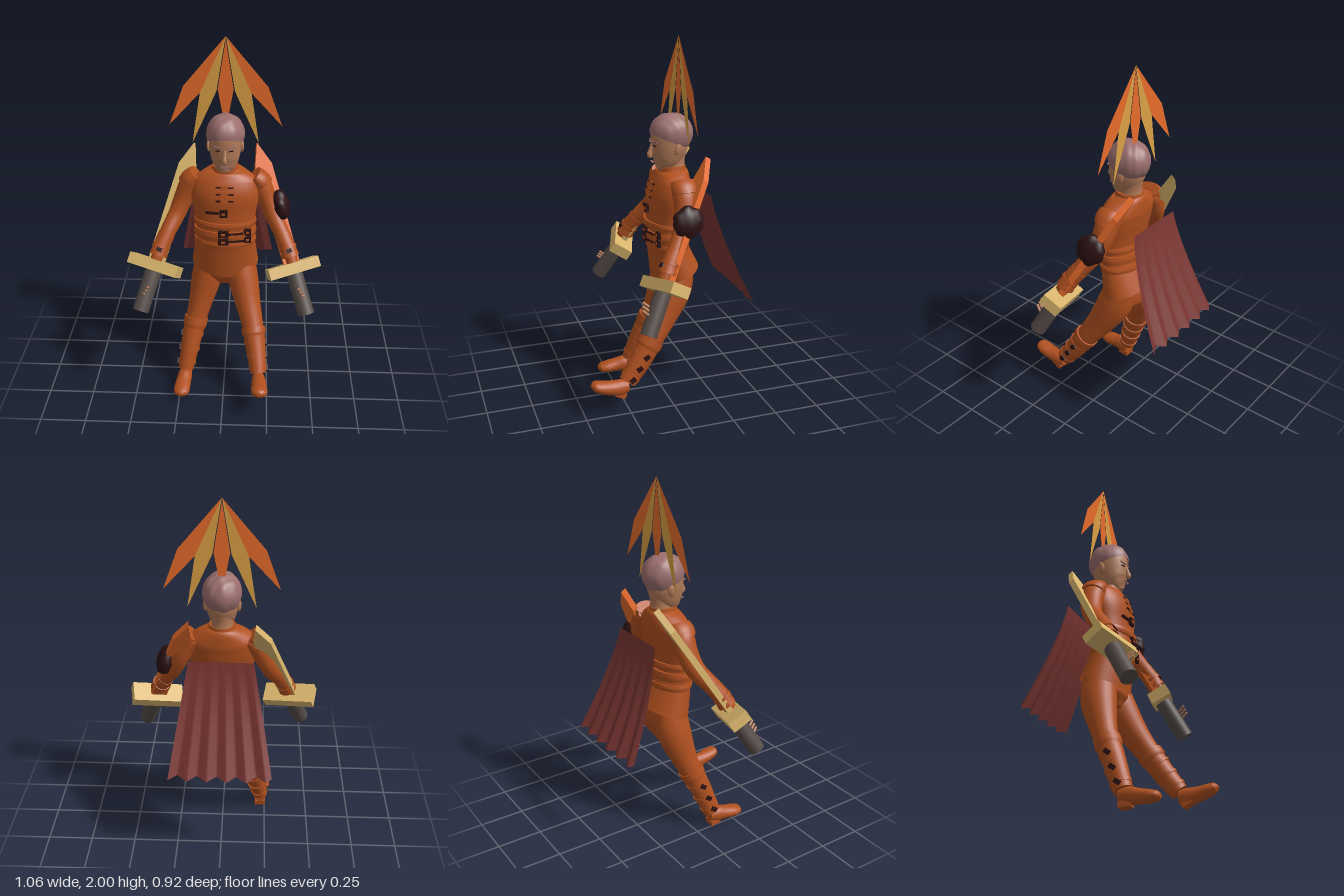
import * as THREE from 'three';

const mat = (name, color, side = THREE.FrontSide) => {
  const m = new THREE.MeshStandardMaterial({ color, side });
  m.name = name;
  return m;
};
const V = (x, y, z) => new THREE.Vector3(x, y, z);

// Smooth tube of elliptical sections; each ring is [x, y, z, sideRadius, depthRadius]
function loft(rings, seg = 24, sub = 5) {
  const path = new THREE.CatmullRomCurve3(rings.map(r => V(r[0], r[1], r[2])));
  const size = new THREE.CatmullRomCurve3(rings.map(r => V(r[3], r[4], 0)));
  const n = (rings.length - 1) * sub, pos = [], idx = [];
  const addRing = i => {
    const c = path.getPoint(i / n), t = path.getTangent(i / n), r = size.getPoint(i / n);
    const s = V(1, 0, 0).addScaledVector(t, -t.x).normalize();
    const f = s.clone().cross(t);
    const start = pos.length / 3;
    for (let j = 0; j < seg; j++) {
      const a = (j / seg) * Math.PI * 2;
      const p = c.clone().addScaledVector(s, r.x * Math.cos(a)).addScaledVector(f, r.y * Math.sin(a));
      pos.push(p.x, p.y, p.z);
    }
    return start;
  };
  for (let i = 0; i <= n; i++) addRing(i);
  for (let i = 0; i < n; i++) for (let j = 0; j < seg; j++) {
    const a = i * seg + j, b = i * seg + (j + 1) % seg;
    idx.push(a, a + seg, b, b, a + seg, b + seg);
  }
  for (const end of [0, n]) {
    const s = addRing(end), c = path.getPoint(end / n), m = pos.length / 3;
    pos.push(c.x, c.y, c.z);
    for (let j = 0; j < seg; j++) {
      const k = (j + 1) % seg;
      if (end) idx.push(m, s + k, s + j); else idx.push(m, s + j, s + k);
    }
  }
  const g = new THREE.BufferGeometry();
  g.setAttribute('position', new THREE.Float32BufferAttribute(pos, 3));
  g.setIndex(idx);
  g.computeVertexNormals();
  return g;
}

// Move every vertex of a geometry by a rule
function shape(geo, rule) {
  const p = geo.attributes.position;
  for (let i = 0; i < p.count; i++) p.setXYZ(i, ...rule(p.getX(i), p.getY(i), p.getZ(i)));
  geo.computeVertexNormals();
  return geo;
}

export function createModel() {
  const leather = mat('leather', 0xb0501f, THREE.DoubleSide), skin = mat('skin', 0xb27a58);
  const hairMat = mat('hair', 0x9a6e6c, THREE.DoubleSide), dark = mat('darkLeather', 0x2c1112);
  const capeMat = mat('capeRed', 0x7a3632, THREE.DoubleSide), brass = mat('paleGold', 0xd8b46c);
  const grip = mat('gripGrey', 0x564c48), orange = mat('orange', 0xe86c2c, THREE.DoubleSide);
  const gold = mat('featherGold', 0xdca044, THREE.DoubleSide);
  const model = new THREE.Group();
  const add = (name, geo, m, p = [0, 0, 0], rot = [0, 0, 0], parent = model) => {
    const mesh = new THREE.Mesh(geo, m);
    mesh.name = name;
    mesh.position.set(...p);
    mesh.rotation.set(...rot);
    parent.add(mesh);
    return mesh;
  };
  const box = (name, m, size, p, rot) => add(name, new THREE.BoxGeometry(...size), m, p, rot);

  // Jacket, trousers seat and collar
  add('jacket', loft([[0, .77, -.06, .158, .1], [0, .87, -.04, .164, .107], [0, .96, -.025, .16, .1],
    [0, 1.06, -.03, .17, .1], [0, 1.16, -.04, .188, .108], [0, 1.23, -.06, .18, .1], [0, 1.28, -.07, .115, .085],
    [0, 1.3, -.07, .07, .07]], 36), leather);
  add('trouserSeat', loft([[0, .6, -.05, .05, .06], [0, .66, -.06, .14, .1], [0, .77, -.06, .156, .1]]), leather);
  // Flared jacket skirt, split in a V at the front and lifted at the back
  add('jacketSkirt', shape(new THREE.PlaneGeometry(2, 1, 48, 6), (u, h) => {
    const v = .5 - h, a = u * (Math.PI - .27 * v), back = (1 - Math.cos(a)) / 2;
    return [-Math.sin(a) * (.166 + .021 * v), .87 - (.19 - .08 * back) * v,
      -.042 - .038 * v + Math.cos(a) * (.109 + .017 * v)];
  }), leather);
  add('collar', loft([[0, 1.27, -.065, .078, .08], [0, 1.315, -.065, .07, .074]]), leather);
  for (const [y, z, h] of [[.885, -.038, .035], [.945, -.027, .05], [1.005, -.027, .035]])
    add('belt', loft([[0, y - h / 2, z, .169, .112], [0, y, z, .173, .115], [0, y + h / 2, z, .169, .112]], 36), leather);

  // Buckles and clasps on the front: outline in dark leather with a leather centre
  const buckle = (x, y, z, w, h) => {
    box('buckle', dark, [w, h, .016], [x, y, z]);
    box('buckleCentre', leather, [w * .4, h * .35, .022], [x, y, z]);
  };
  for (const y of [.92, .965]) {
    buckle(-.005, y, .085, .055, .038);
    buckle(.125, y, .053, .04, .038);
    box('buckleStrap', dark, [.09, .009, .01], [.06, y, .08], [0, .2, 0]);
  }
  buckle(-.005, 1.085, .077, .042, .042);
  box('chestStrap', dark, [.07, .012, .012], [-.065, 1.085, .068], [0, -.12, 0]);
  for (const y of [1.155, 1.19, 1.225]) {
    const z = .067 - (y - 1.155) * .3;
    box('clasp', dark, [.095, .008, .012], [0, y, z], [-.2, 0, 0]);
    box('claspKnot', leather, [.04, .02, .018], [0, y, z], [-.2, 0, 0]);
  }

  // Head, neck and face
  add('neck', loft([[0, 1.25, -.085, .064, .064], [0, 1.33, -.075, .056, .06], [0, 1.42, -.08, .06, .07]]), skin);
  add('head', loft([[0, 1.295, .008, .022, .022], [0, 1.312, -.006, .046, .047], [0, 1.355, -.03, .072, .082], [0, 1.42, -.05, .086, .101],
    [0, 1.48, -.055, .088, .104], [0, 1.53, -.06, .074, .09], [0, 1.57, -.06, .04, .05]], 28), skin);
  add('nose', loft([[0, 1.44, .045, .009, .008], [0, 1.405, .054, .01, .012], [0, 1.38, .06, .014, .015], [0, 1.366, .052, .012, .01]], 12), skin);
  box('mouth', hairMat, [.04, .009, .01], [0, 1.342, .046]);
  for (const s of [-1, 1]) {
    box('brow', hairMat, [.042, .008, .008], [s * .036, 1.452, .044], [0, s * .38, s * .12]);
    box('eye', dark, [.022, .005, .008], [s * .034, 1.433, .042], [0, s * .35, 0]);
    add('ear', new THREE.SphereGeometry(1, 12, 10), skin, [s * .088, 1.42, -.07], [-.2, s * .3, 0]).scale.set(.011, .034, .02);
  }
  // Hair: a cap tilted back, with combed waves and a raised forelock
  const cap = new THREE.SphereGeometry(1, 48, 28, 0, Math.PI * 2, 0, Math.PI * .62);
  cap.rotateX(-.42);
  add('hair', shape(cap, (x, y, z) => {
    const k = 1 + .025 * Math.sin(x * 9 + z * 5) * Math.cos(z * 8) + .05 * Math.max(0, z) * Math.max(0, y);
    return [x * .102 * k, y * .108 * k, z * .118 * k];
  }), hairMat, [0, 1.49, -.063]);

  // Arms
  for (const s of [-1, 1]) {
    const z = s < 0 ? .015 : 0;
    add('arm', loft([[s * .14, 1.23, -.07, .04, .06], [s * .185, 1.2, -.07, .06, .064], [s * .225, 1.12, -.065, .054, .06],
      [s * .265, 1.03, -.035, .049, .052], [s * .315, .94, .02 + z, .043, .046], [s * .355, .86, .075 + z, .037, .04]]), leather);
    add('shoulderCap', loft([[s * .16, 1.258, -.07, .04, .065], [s * .188, 1.228, -.07, .052, .07], [s * .202, 1.2, -.07, .058, .066]]), leather);
    add('cuff', loft([[s * .315, .94, .02 + z, .046, .048], [s * .345, .88, .06 + z, .045, .047], [s * .362, .835, .083 + z, .05, .05]]), leather);
    add('cuffStrap', loft([[s * .343, .885, .057 + z, .05, .051], [s * .349, .873, .065 + z, .05, .051]]), leather);
    box('cuffBuckle', dark, [.03, .022, .014], [s * .352, .885, .108 + z], [-.5, 0, s * .4]);
    add('glove', loft([[s * .362, .84, .085 + z, .034, .036], [s * .39, .76, .125 + z, .03, .032]]), leather);
    for (let i = 0; i < 3; i++)
      add('finger', new THREE.CapsuleGeometry(.007, .032, 3, 8), skin,
        [s * (.41 + i * .011), .705 - i * .017, .213 + z + i * .005], [.9, 0, s * .3]);
  }

  // Dark guard on the left upper arm
  add('armGuard', shape(new THREE.SphereGeometry(1, 24, 16), (x, y, z) => {
    const k = 1 + .08 * Math.sin(z * 7 + y * 4) * Math.sin(y * 6);
    return [x * k * .046, y * k * .085, z * k * .08];
  }), dark, [.305, 1.085, -.05], [-.15, 0, .25]);

  // Legs and boots
  const leg = (rings, shin, foot, heel, pitch) => {
    add('leg', loft(rings), leather);
    add('boot', loft(shin), leather);
    add('foot', loft(foot, 20), leather);
    box('heel', leather, [.062, .03, .06], heel, [pitch, 0, 0]);
    const a = shin[0], b = shin[shin.length - 1], s = Math.sign(a[0]);
    const at = (t, grow) => a.map((v, i) => v + (b[i] - v) * t + (i > 2 ? grow : 0));
    add('bootCuff', loft([at(-.06, .005), at(.06, .007), at(.14, .003)]), leather);
    for (const t of [.25, .55, .84]) {
      add('bootStrap', loft([at(t, .004), at(t + .06, .004)]), leather);
      const p = at(t + .03, .006);
      box('bootBuckle', dark, [.012, .024, .034], [p[0] + s * p[3], p[1], p[2]], [.6, 0, 0]);
    }
  };
  leg([[.085, .75, -.075, .075, .09], [.1, .64, -.045, .086, .1], [.135, .49, .035, .071, .078], [.163, .39, .1, .06, .064],
    [.185, .27, .18, .053, .056], [.2, .18, .25, .04, .045]],
  [[.168, .37, .115, .062, .066], [.185, .27, .18, .055, .06], [.2, .17, .255, .044, .05]],
  [[.2, .145, .255, .034, .036], [.203, .142, .3, .041, .046], [.205, .15, .355, .043, .04], [.207, .165, .41, .046, .034],
    [.207, .178, .445, .037, .025], [.207, .182, .46, .014, .01]],
  [.202, .108, .3], -.45);
  leg([[-.085, .75, -.075, .075, .09], [-.105, .62, -.07, .086, .098], [-.14, .47, -.03, .069, .076], [-.163, .38, .0, .06, .064],
    [-.195, .25, .055, .053, .056], [-.22, .11, .11, .04, .045]],
  [[-.168, .36, .01, .062, .066], [-.195, .24, .06, .055, .06], [-.222, .09, .115, .044, .05]],
  [[-.222, .065, .1, .034, .036], [-.226, .06, .15, .041, .046], [-.232, .053, .2, .043, .038], [-.236, .046, .26, .046, .032],
    [-.237, .044, .295, .037, .024], [-.237, .042, .31, .014, .01]],
  [-.224, .02, .128], -.12);

  // Swords: broad flat blade, block crossguard, round grip
  const sword = (name, tip, end, across, bladeMat) => {
    const axis = tip.clone().sub(end), len = axis.length();
    axis.normalize();
    const side = across.addScaledVector(axis, -across.dot(axis)).normalize();
    const g = new THREE.Group();
    g.name = name;
    g.applyMatrix4(new THREE.Matrix4().makeBasis(side, axis, side.clone().cross(axis)));
    g.position.copy(end).addScaledVector(axis, len * .27);
    const h = len * .73, o = new THREE.Shape();
    o.moveTo(-.044, 0).lineTo(.044, 0).lineTo(.048, h - .13).lineTo(0, h).lineTo(-.048, h - .13);
    const blade = new THREE.ExtrudeGeometry(o, { depth: .034, bevelEnabled: false });
    add('blade', blade, bladeMat, [0, 0, -.017], [0, 0, 0], g);
    add('crossguard', new THREE.BoxGeometry(.285, .06, .115), brass, [0, 0, 0], [0, 0, 0], g);
    add('grip', new THREE.CylinderGeometry(.045, .045, len * .27, 24), grip, [0, -len * .135, 0], [0, 0, 0], g);
    model.add(g);
  };
  sword('rightSword', V(-.175, 1.37, -.22), V(-.452, .565, .24), V(.27, -.05, .09), brass);
  sword('leftSword', V(.165, 1.38, -.21), V(.455, .55, .215), V(.27, .05, -.075), orange);

  // Cape with pleats that deepen toward the hem
  add('cape', shape(new THREE.PlaneGeometry(2, 1, 84, 14), (u, h) => {
    const v = .5 - h, fold = Math.asin(Math.cos((u + .13) * Math.PI * 2 / .378)) * 2 / Math.PI;
    return [u * (.17 + .105 * v), 1.17 - .585 * v - .008 * v * fold,
      -.23 - .212 * Math.pow(v, 1.35) - .017 * v * fold + .01 * u * u * v];
  }), capeMat);

  // Fan of flat blades above the head
  const fan = (name, m, pts) => add(name, new THREE.ShapeGeometry(new THREE.Shape(pts.map(p => new THREE.Vector2(...p)))), m, [0, 0, -.1]);
  for (const s of [-1, 1]) {
    fan('outerPlume', orange, [[0, 2], [s * .222, 1.735], [s * .3, 1.52], [s * .135, 1.7]]);
    fan('innerPlume', gold, [[0, 2], [s * .135, 1.7], [s * .178, 1.42], [s * .048, 1.71]]);
  }
  fan('centrePlume', orange, [[0, 1.985], [-.042, 1.72], [0, 1.5], [.042, 1.72]]);
  return model;
}
